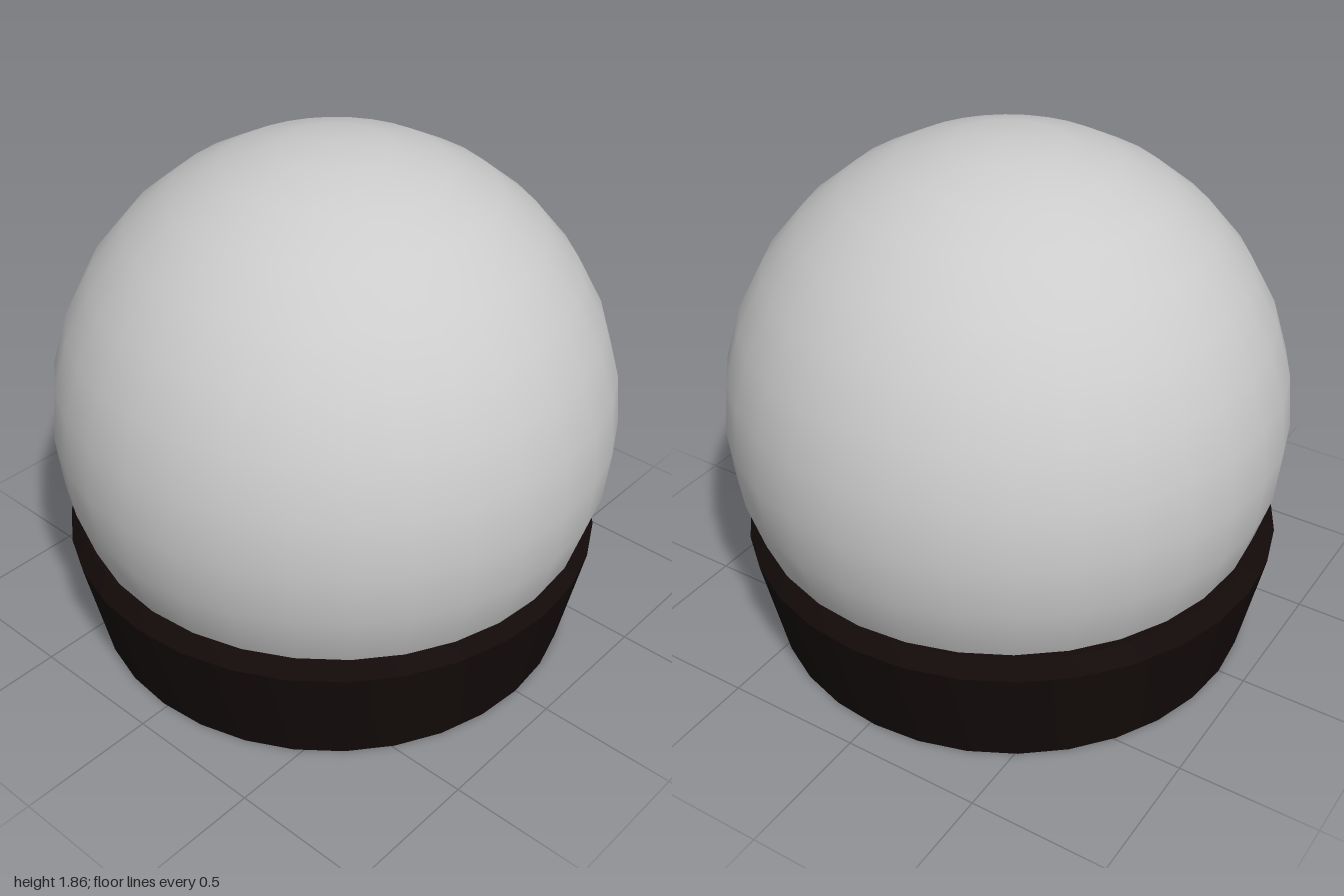
import * as THREE from 'three';
import { toCreasedNormals } from 'three/addons/utils/BufferGeometryUtils.js';

export function createModel() {
  const group = new THREE.Group();

  // Smooth globe, cut off inside the stand
  const globe = new THREE.Mesh(
    new THREE.SphereGeometry(1, 32, 12, 0, Math.PI * 2, 0, Math.PI * 12 / 16),
    new THREE.MeshStandardMaterial({ color: 0xcccccc, side: THREE.DoubleSide })
  );
  globe.name = 'globe';
  globe.position.y = 0.86;
  group.add(globe);

  // Tapered dark stand with a chamfered rim, slightly off-centre
  const profile = [[0, 0], [0.884, 0], [0.969, 0.402], [0.926, 0.459], [0, 0.459]]
    .map(([r, y]) => new THREE.Vector2(r, y));
  const stand = new THREE.Mesh(
    toCreasedNormals(new THREE.LatheGeometry(profile, 32), 0.4),
    new THREE.MeshStandardMaterial({ color: 0x130b0a })
  );
  stand.name = 'stand';
  stand.position.x = -0.018;
  group.add(stand);

  return group;
}
